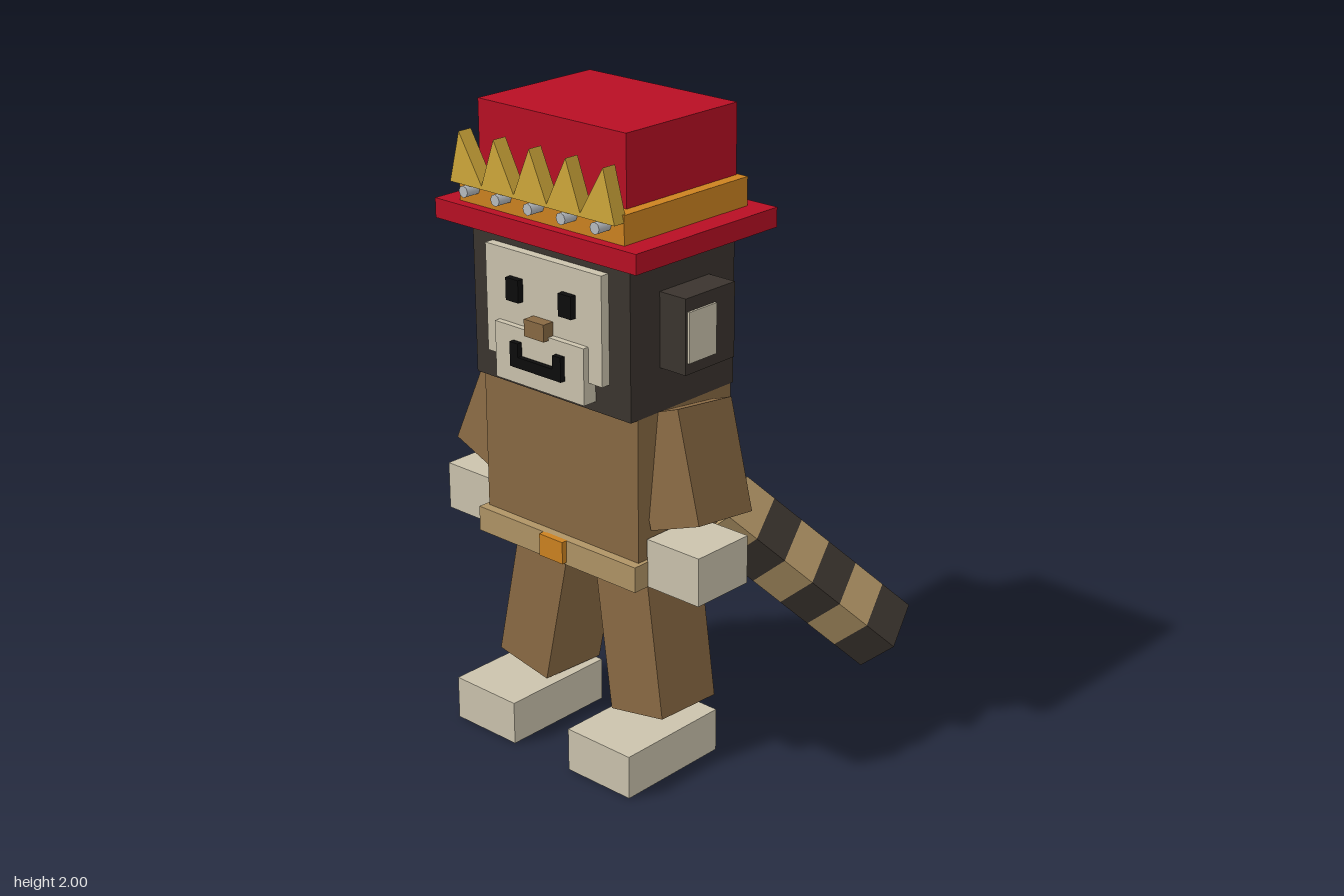
import * as THREE from 'three';

const mat = (name, color) => {
  const m = new THREE.MeshStandardMaterial({ color });
  m.name = name;
  return m;
};

export function createModel() {
  const red = mat('red', 0xb80f24), orange = mat('orange', 0xcc8220), gold = mat('gold', 0xd0a83a);
  const dark = mat('dark fur', 0x3b342e), cream = mat('cream', 0xcbc3ad), brown = mat('brown', 0x886943);
  const tan = mat('tan', 0xb09465), black = mat('black', 0x0c0c0c), silver = mat('silver', 0xb8bcc0);
  const MID = -0.117; // x of the body's mirror plane
  const model = new THREE.Group();
  model.name = 'monkey';

  const add = (name, geometry, material, parent = model) => {
    const mesh = new THREE.Mesh(geometry, material);
    mesh.name = name;
    parent.add(mesh);
    return mesh;
  };
  // Box from its two limits on each axis
  const box = (name, material, [x0, x1], [y0, y1], [z0, z1]) => {
    const mesh = add(name, new THREE.BoxGeometry(x1 - x0, y1 - y0, z1 - z0), material);
    mesh.position.set((x0 + x1) / 2, (y0 + y1) / 2, (z0 + z1) / 2);
    return mesh;
  };
  // Box centred on the mirror plane
  const mid = (name, material, width, y, z) =>
    box(name, material, [MID - width / 2, MID + width / 2], y, z);
  // Pair of boxes; x limits are distances from the mirror plane
  const pair = (name, material, [a, b], y, z) => {
    box('left' + name, material, [MID + a, MID + b], y, z);
    box('right' + name, material, [MID - b, MID - a], y, z);
  };
  // Pair of tilted limbs
  const limbs = (name, size, [x, y, z], tiltX, tiltZ) => {
    for (const s of [1, -1]) {
      const limb = add((s > 0 ? 'left' : 'right') + name, new THREE.BoxGeometry(...size), brown);
      limb.position.set(MID + s * x, y, z);
      limb.rotation.set(tiltX, 0, s * tiltZ);
    }
  };

  // Hat
  mid('hatCrown', red, 0.58, [1.785, 2], [-0.09, 0.37]);
  mid('hatBand', orange, 0.652, [1.7, 1.787], [-0.098, 0.418]);
  mid('hatBrim', red, 0.797, [1.64, 1.7], [-0.145, 0.45]);

  // Row of five gold spikes on the hat front, with studs below
  const spikes = new THREE.Shape();
  spikes.moveTo(-0.325, 1.765);
  for (let i = -2; i <= 2; i++) {
    spikes.lineTo(i * 0.1415, 1.92);
    if (i < 2) spikes.lineTo((i + 0.5) * 0.13, 1.775);
  }
  spikes.lineTo(0.325, 1.765);
  const spikeGeometry = new THREE.ExtrudeGeometry(spikes, { depth: 0.048, bevelEnabled: false });
  add('hatSpikes', spikeGeometry, gold).position.set(MID, 0, 0.407);
  for (let i = -2; i <= 2; i++) {
    const stud = add('hatStud', new THREE.CylinderGeometry(0.018, 0.018, 0.048, 8), silver);
    stud.rotation.x = Math.PI / 2;
    stud.position.set(MID + i * 0.13, 1.748, 0.442);
  }

  // Head and ears
  mid('head', dark, 0.627, [1.165, 1.64], [-0.057, 0.383]);
  pair('Ear', dark, [0.3, 0.411], [1.3, 1.528], [0.053, 0.262]);
  pair('InnerEar', cream, [0.4, 0.418], [1.335, 1.488], [0.138, 0.254]);

  // Face
  mid('face', cream, 0.463, [1.261, 1.592], [0.375, 0.413]);
  mid('muzzle', cream, 0.357, [1.197, 1.37], [0.385, 0.433]);
  pair('Eye', black, [0.08, 0.131], [1.444, 1.513], [0.412, 0.433]);
  mid('nose', brown, 0.079, [1.36, 1.412], [0.41, 0.452]);
  mid('mouth', black, 0.206, [1.253, 1.286], [0.432, 0.45]);
  pair('MouthCorner', black, [0.07, 0.103], [1.286, 1.328], [0.432, 0.45]);

  // Body and belt
  mid('torso', brown, 0.625, [0.636, 1.165], [-0.048, 0.354]);
  mid('belt', tan, 0.651, [0.638, 0.718], [-0.05, 0.384]);
  mid('buckle', orange, 0.096, [0.647, 0.718], [0.38, 0.402]);

  // Arms, hands, legs and feet
  limbs('Arm', [0.19, 0.34, 0.235], [0.354, 0.988, 0.172], -0.12, 0.35);
  pair('Hand', cream, [0.322, 0.521], [0.637, 0.789], [0.112, 0.327]);
  limbs('Leg', [0.21, 0.55, 0.238], [0.195, 0.435, 0.161], -0.045, 0.178);
  pair('Foot', cream, [0.117, 0.368], [0, 0.14], [0.069, 0.46]);

  // Striped tail running back, down and to the left; local z points to its root
  const tail = new THREE.Group();
  tail.name = 'tail';
  const across = new THREE.Vector3(0.123, 0.107, 0).normalize();
  const root = new THREE.Vector3(-0.566, 0.65, 0.507).normalize();
  const up = root.clone().cross(across);
  tail.quaternion.setFromRotationMatrix(new THREE.Matrix4().makeBasis(across, up, root));
  tail.position.set(0.5415, 0.32, -0.39);
  for (let i = 0; i < 6; i++) {
    const ring = add('tailRing', new THREE.BoxGeometry(0.163, 0.174, 0.111), i % 2 ? tan : dark, tail);
    ring.position.z = (i + 0.5) * 0.111;
  }
  model.add(tail);

  return model;
}
